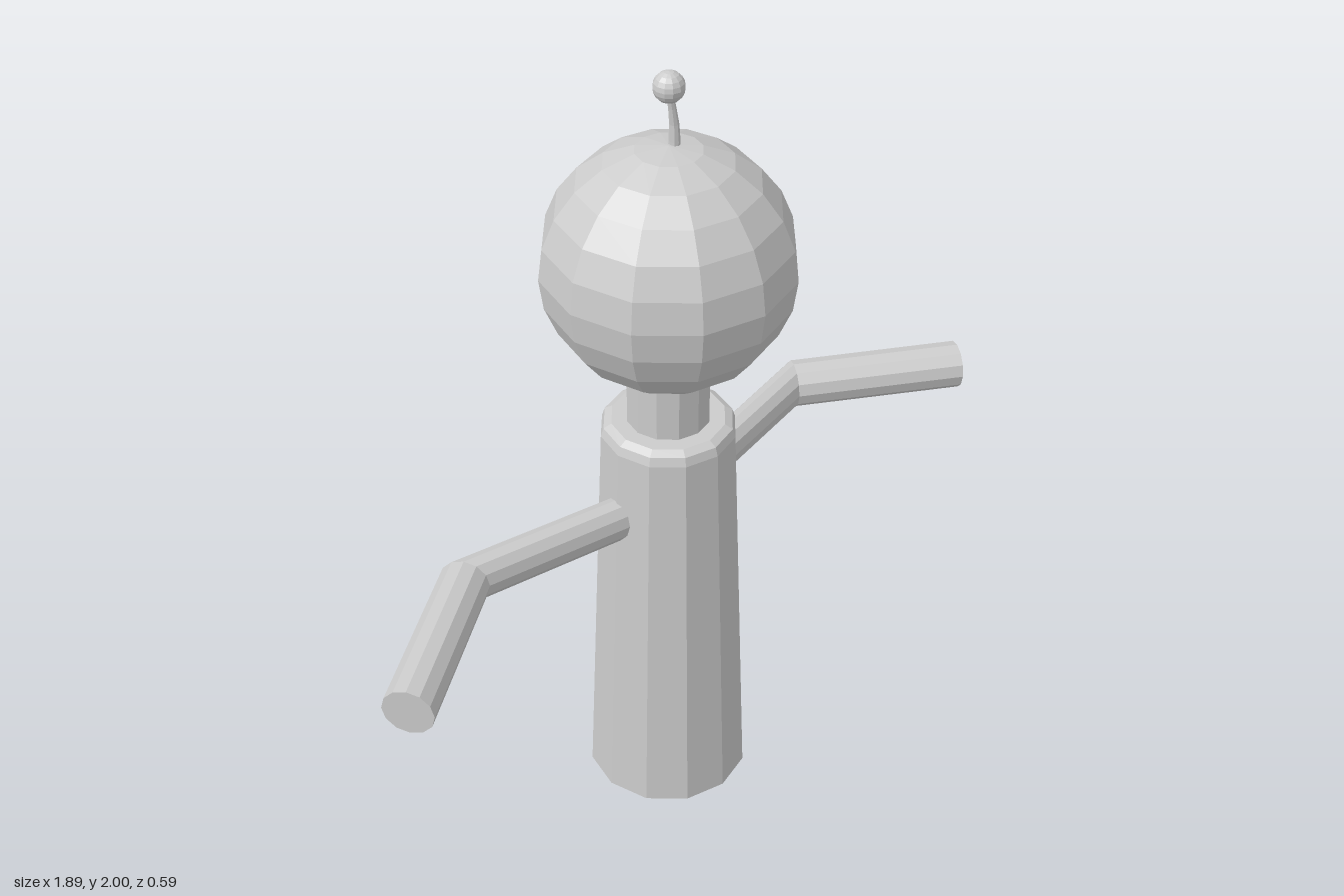
import * as THREE from 'three';

const material = new THREE.MeshStandardMaterial({ color: 0xcccccc, flatShading: true });
const SIDES = 12;
const CENTRE_X = 0.018; // body axis sits slightly off centre between the arms

function part(name, geometry, x = 0, y = 0, z = 0) {
  const mesh = new THREE.Mesh(geometry, material);
  mesh.name = name;
  mesh.position.set(x, y, z);
  return mesh;
}

// Capped tube through the centres, every ring keeping the same orientation:
// u spans the ring, axis is its normal.
function sweep(centres, radii, u, axis, sides) {
  const n = centres.length - 1;
  const v = u.clone().cross(axis);
  const geometry = new THREE.CylinderGeometry(1, 1, 1, sides, n);
  const pos = geometry.attributes.position;
  const p = new THREE.Vector3();
  for (let i = 0; i < pos.count; i++) {
    const ring = Math.round((pos.getY(i) + 0.5) * n);
    p.copy(centres[ring])
      .addScaledVector(u, pos.getX(i) * radii[ring])
      .addScaledVector(v, pos.getZ(i) * radii[ring]);
    pos.setXYZ(i, p.x, p.y, p.z);
  }
  geometry.computeVertexNormals();
  return geometry;
}

export function createModel() {
  const group = new THREE.Group();
  group.name = 'figure';

  // Tapered body with a bevelled shoulder
  const profile = [[0, 0], [0.207, 0], [0.164, 1.07], [0.157, 1.092], [0.138, 1.103], [0, 1.103]];
  const body = new THREE.LatheGeometry(profile.map(([r, y]) => new THREE.Vector2(r, y)), SIDES);
  group.add(part('body', body, CENTRE_X));

  // Neck and head
  group.add(part('neck', new THREE.CylinderGeometry(0.1, 0.1, 0.24, SIDES), CENTRE_X, 1.19));
  group.add(part('head', new THREE.SphereGeometry(0.297, SIDES, 12), CENTRE_X, 1.527));

  // Curved antenna with a ball tip
  const stem = [[0.033, 1.79], [0.035, 1.83], [0.034, 1.87], [0.028, 1.91], [0.019, 1.955]]
    .map(([x, y]) => new THREE.Vector3(x, y, 0));
  group.add(part('antennaStem', sweep(stem, [0.014, 0.013, 0.011, 0.009, 0.008],
    new THREE.Vector3(1, 0, 0), new THREE.Vector3(0, 1, 0), 8)));
  group.add(part('antennaBall', new THREE.SphereGeometry(0.036, SIDES, 10), CENTRE_X, 1.964));

  // Bent arms: the upper arm is sheared off the forearm's cross-section
  for (const side of [1, -1]) {
    const path = [[0.1, 0.873, 0], [0.553, 0.88, -0.083], [0.915, 0.886, 0.16]]
      .map(([x, y, z]) => new THREE.Vector3(side * x, y, z));
    const u = new THREE.Vector3(side * 0.52, 0, -0.854).normalize();
    const axis = new THREE.Vector3(side * 0.854, 0, 0.52).normalize();
    const arm = sweep(path, [0.058, 0.06, 0.0605], u, axis, SIDES);
    group.add(part(side > 0 ? 'leftArm' : 'rightArm', arm));
  }

  return group;
}
